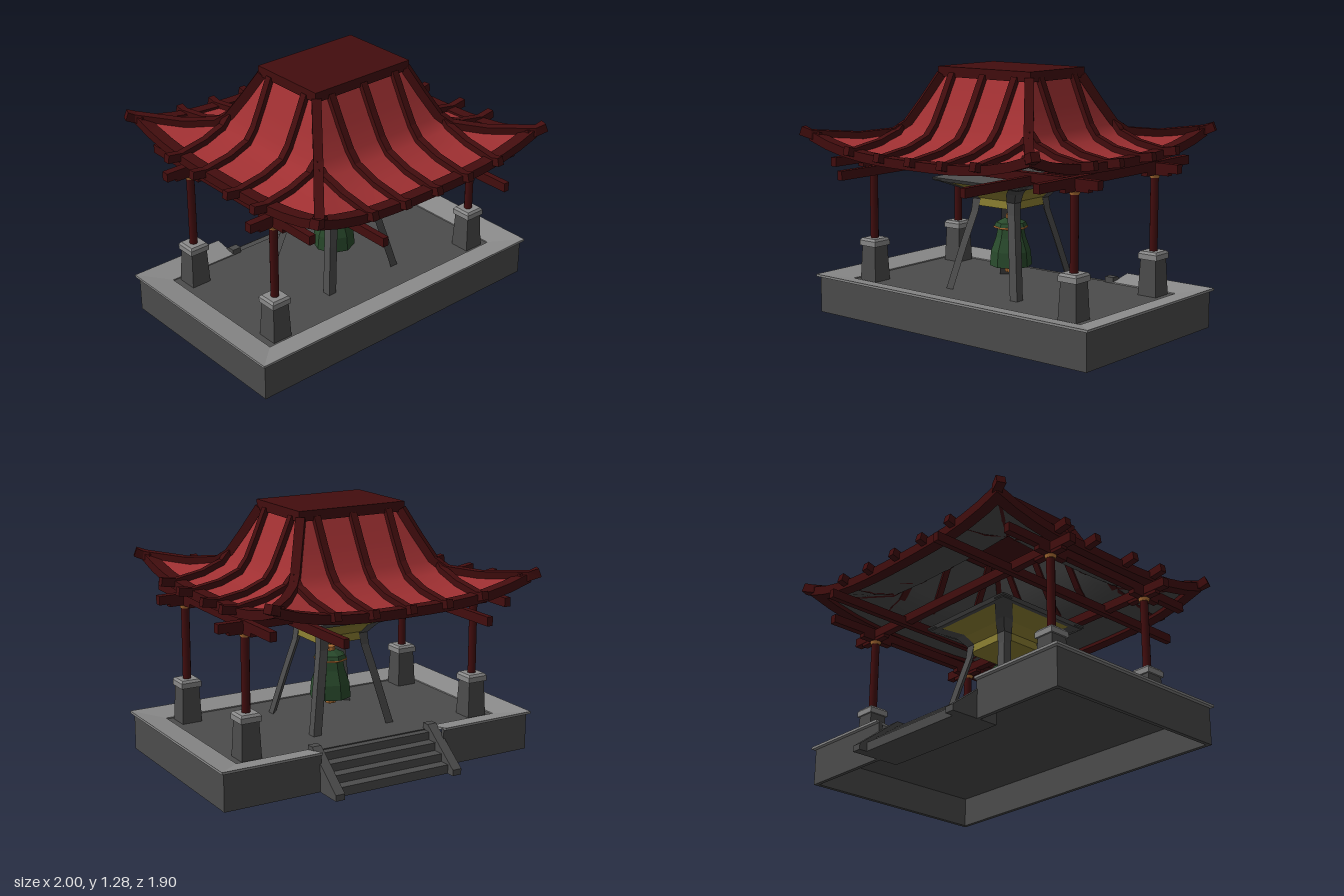
import * as THREE from 'three';

const mat = (name, color) => Object.assign(new THREE.MeshStandardMaterial({ color }), { name });

export function createModel() {
  const stone = mat('dark stone', 0x4c4c4c);
  const paleStone = mat('pale stone', 0x8a8a8a);
  const timber = mat('dark red timber', 0x430d0e);
  const tile = mat('red roof', 0xa03032);
  const brass = mat('copper', 0xb87538);
  const bellGreen = mat('bell green', 0x294a2c);
  const ochre = mat('ochre panel', 0x8f8233);

  const root = new THREE.Group();
  const model = new THREE.Group();
  model.name = 'bellPavilion';
  model.rotation.y = THREE.MathUtils.degToRad(20);
  root.add(model);

  const add = (name, geo, material, parent = model) => {
    const m = new THREE.Mesh(geo, material);
    m.name = name;
    parent.add(m);
    return m;
  };
  const part = (name, parent = model) => {
    const g = new THREE.Group();
    g.name = name;
    parent.add(g);
    return g;
  };
  const box = (name, w, h, d, x, y, z, material, parent) => {
    const m = add(name, new THREE.BoxGeometry(w, h, d), material, parent);
    m.position.set(x, y, z);
    return m;
  };

  // Closed, faceted solid through matching rings of points
  const loft = (rings) => {
    const n = rings[0].length, idx = [], last = (rings.length - 1) * n;
    for (let r = 0; r < rings.length - 1; r++)
      for (let i = 0; i < n; i++) {
        const a = r * n + i, b = r * n + (i + 1) % n;
        idx.push(a, b, b + n, a, b + n, a + n);
      }
    for (let i = 1; i < n - 1; i++) idx.push(0, i + 1, i, last, last + i, last + i + 1);
    const g = new THREE.BufferGeometry();
    g.setAttribute('position', new THREE.Float32BufferAttribute(rings.flat(2), 3));
    g.setIndex(idx);
    const flat = g.toNonIndexed();
    flat.computeVertexNormals();
    return flat;
  };
  const rect = (hx, hz, y) => [[-hx, y, hz], [hx, y, hz], [hx, y, -hz], [-hx, y, -hz]];

  // Square timber following a line of points
  const bar = (pts, w, h) => {
    const up = new THREE.Vector3(0, 1, 0);
    return loft(pts.map((p, i) => {
      const t = pts[Math.min(i + 1, pts.length - 1)].clone().sub(pts[Math.max(i - 1, 0)]).normalize();
      const s = up.clone().cross(t).normalize();
      const n = t.clone().cross(s);
      return [[-1, -1], [1, -1], [1, 1], [-1, 1]].map(([a, b]) =>
        p.clone().addScaledVector(s, a * w / 2).addScaledVector(n, b * h / 2).toArray());
    }));
  };

  // Hollow platform with a floor, open at the back for the stairs
  const platform = part('platform');
  box('floor', 1.7, 0.02, 0.78, 0, 0.16, 0.11, stone, platform);
  box('floorBack', 1.7, 0.02, 0.13, 0, 0.16, -0.34, stone, platform);
  box('frontWall', 1.716, 0.19, 0.02, 0, 0.095, 0.497, stone, platform);
  for (const s of [-1, 1]) {
    box('sideWall', 0.02, 0.19, 1.014, s * 0.848, 0.095, 0, stone, platform);
    box('backWall', 0.51, 0.19, 0.02, s * 0.603, 0.095, -0.497, stone, platform);
  }
  // Rim slopes down towards the floor
  const rim = (o1, o2, i2, i1) => add('rim', loft([-0.012, 0].map(d => [
    [o1[0], 0.2 + d, o1[1]], [o2[0], 0.2 + d, o2[1]], [i2[0], 0.176 + d, i2[1]], [i1[0], 0.176 + d, i1[1]]])),
    paleStone, platform);
  const OX = 0.874, OZ = 0.523, IX = 0.735, IZ = 0.39, GAP = 0.35;
  rim([-OX, OZ], [OX, OZ], [IX, IZ], [-IX, IZ]);
  rim([OX, OZ], [OX, -OZ], [IX, -IZ], [IX, IZ]);
  rim([-OX, -OZ], [-OX, OZ], [-IX, IZ], [-IX, -IZ]);
  rim([OX, -OZ], [GAP, -OZ], [GAP, -IZ], [IX, -IZ]);
  rim([-GAP, -OZ], [-OX, -OZ], [-IX, -IZ], [-GAP, -IZ]);

  // Back stairs between sloping kerbs
  const stairs = part('stairs');
  for (let i = 0; i < 4; i++) {
    const h = 0.165 - i * 0.04;
    box('step', 0.62, h, 0.055, 0, h / 2, -0.415 - i * 0.055, stone, stairs);
  }
  for (const s of [-1, 1]) {
    const ring = x => [[x, 0, -0.39], [x, 0.2, -0.39], [x, 0.2, -0.43], [x, 0.03, -0.65], [x, 0, -0.65]];
    add('stairKerb', loft([ring(s * 0.33 - 0.025), ring(s * 0.33 + 0.025)].map(r => r.reverse())), stone, stairs);
  }

  // Corner posts on tapered footings
  for (const sx of [-1, 1]) for (const sz of [-1, 1]) {
    const post = part('cornerPost');
    post.position.set(sx * 0.645, 0, sz * 0.322);
    add('footing', loft([rect(0.054, 0.054, 0.15), rect(0.045, 0.045, 0.355)]), stone, post);
    add('footingCap', loft([rect(0.054, 0.054, 0.353), rect(0.054, 0.054, 0.38), rect(0.045, 0.045, 0.392)]), paleStone, post);
    add('post', new THREE.CylinderGeometry(0.021, 0.021, 0.39, 10), timber, post).position.y = 0.575;
    add('collar', new THREE.CylinderGeometry(0.029, 0.024, 0.016, 10), brass, post).position.y = 0.764;
    box('bracket', 0.18, 0.03, 0.035, 0, 0.787, 0, timber, post);
    box('bracket', 0.035, 0.03, 0.18, 0, 0.787, 0, timber, post);
  }

  // Beam frame under the roof
  for (const s of [-1, 1]) {
    box('longBeam', 1.58, 0.045, 0.04, 0, 0.81, s * 0.322, timber);
    box('crossBeam', 0.03, 0.045, 1.6, s * 0.39, 0.795, 0, timber);
    box('endBeam', 0.035, 0.045, 1.2, s * 0.645, 0.815, 0, timber);
  }

  // Roof profile: half width x, half depth z, height, corner lift
  const levels = [
    [0.28, 0.2, 1.24, 0], [0.335, 0.27, 1.11, 0], [0.385, 0.335, 1.0, 0],
    [0.43, 0.39, 0.94, 0.015], [0.54, 0.52, 0.895, 0.045], [0.69, 0.7, 0.87, 0.085]];
  const level = t => {
    const i = Math.min(Math.floor(t), levels.length - 2);
    return levels[i].map((v, k) => v + (levels[i + 1][k] - v) * (t - i));
  };
  const END = levels.length - 1;
  const roofPoint = (side, t, lateral, dy = 0) => {
    const l = level(t), half = l[side % 2], out = l[1 - side % 2];
    return new THREE.Vector3(lateral, l[2] + dy + l[3] * Math.abs(lateral / half) ** 3, out);
  };
  const panel = (side, dy, flip) => {
    const pos = [], idx = [], N = 12;
    for (let j = 0; j <= END; j++) for (let i = 0; i <= N; i++)
      pos.push(...roofPoint(side, j, levels[j][side % 2] * (2 * i / N - 1), dy).toArray());
    for (let j = 0; j < END; j++) for (let i = 0; i < N; i++) {
      const a = j * (N + 1) + i, b = a + 1, c = a + N + 1, d = c + 1;
      idx.push(...(flip ? [a, b, c, b, d, c] : [a, c, b, b, c, d]));
    }
    const g = new THREE.BufferGeometry();
    g.setAttribute('position', new THREE.Float32BufferAttribute(pos, 3));
    g.setIndex(idx);
    g.computeVertexNormals();
    return g;
  };

  const roof = part('roof');
  for (let side = 0; side < 4; side++) {
    const g = part('roofSide', roof);
    g.rotation.y = side * Math.PI / 2;
    add('roofPanel', panel(side, 0, false), tile, g);
    add('roofLining', panel(side, -0.015, true), stone, g);
    // Curved eave
    const half = levels[END][side % 2], eave = [];
    for (let i = 0; i <= 12; i++) {
      const p = roofPoint(side, END, half * (i / 6 - 1), -0.003);
      p.z -= 0.02;
      eave.push(p);
    }
    add('eave', bar(eave, 0.06, 0.045), timber, g);
    // Ribs start at the cap or at the hip and overhang the eave
    for (const c of side % 2 ? [-0.33, -0.13, 0.13, 0.33] : [-0.4, -0.2, 0, 0.2, 0.4]) {
      const pts = [];
      for (let t = 0; t <= END; t += 0.25)
        if (level(t)[side % 2] >= Math.abs(c)) pts.push(roofPoint(side, t, c, 0.008));
      const tip = pts[pts.length - 1].clone();
      tip.z += side % 2 ? 0.08 : 0.045;
      tip.y += 0.012;
      pts.push(tip);
      add('rib', bar(pts, 0.036, 0.042), timber, g);
    }
  }
  // Hip ridges with upturned tips
  for (const sx of [-1, 1]) for (const sz of [-1, 1]) {
    const pts = levels.map(l => new THREE.Vector3(sx * l[0], l[2] + l[3] + 0.005, sz * l[1]));
    pts.push(new THREE.Vector3(sx * 0.735, 0.978, sz * 0.718));
    add('hipRidge', bar(pts, 0.045, 0.045), timber, roof);
  }
  box('roofCap', 0.59, 0.05, 0.424, 0, 1.26, 0, timber, roof);

  // Bell stand: four splayed legs that flare out to carry a shallow canopy
  const stand = part('bellStand');
  for (let k = 0; k < 4; k++) {
    const ring = ([c, y, w]) => [[c - w, y, c], [c, y, c], [c, y, c - w]];
    const leg = add('standLeg', loft([[0.235, 0.152, 0.045], [0.18, 0.4, 0.045], [0.14, 0.57, 0.045],
      [0.135, 0.63, 0.05], [0.175, 0.68, 0.06], [0.28, 0.728, 0.06]].map(ring)), stone, stand);
    leg.rotation.y = k * Math.PI / 2;
  }
  add('canopyPanel', loft([rect(0.13, 0.13, 0.595), rect(0.13, 0.13, 0.635), rect(0.165, 0.165, 0.675),
    rect(0.25, 0.25, 0.722)]), ochre, stand);
  add('canopySlab', loft([rect(0.27, 0.27, 0.72), rect(0.28, 0.28, 0.738), rect(0.2, 0.2, 0.758),
    rect(0.14, 0.14, 0.78)]), stone, stand);

  // Hanging bell
  const bell = part('bell');
  const turned = (name, pts, sides, material) => {
    const g = new THREE.LatheGeometry(pts.map(p => new THREE.Vector2(...p)), sides).toNonIndexed();
    g.computeVertexNormals();
    add(name, g, material, bell);
  };
  turned('bellBody', [[0, 0.285], [0.107, 0.285], [0.1, 0.36], [0.075, 0.43], [0.066, 0.475], [0.085, 0.485],
    [0.075, 0.505], [0.035, 0.525], [0, 0.525]], 8, bellGreen);
  turned('bellBand', [[0.066, 0.472], [0.087, 0.478], [0.087, 0.486], [0.066, 0.488]], 8, brass);
  turned('hanger', [[0, 0.52], [0.025, 0.52], [0.025, 0.545], [0.012, 0.555], [0.012, 0.6], [0, 0.6]], 8, brass);
  turned('clapper', [[0, 0.25], [0.028, 0.25], [0.032, 0.275], [0.015, 0.287], [0, 0.287]], 8, brass);

  return root;
}
